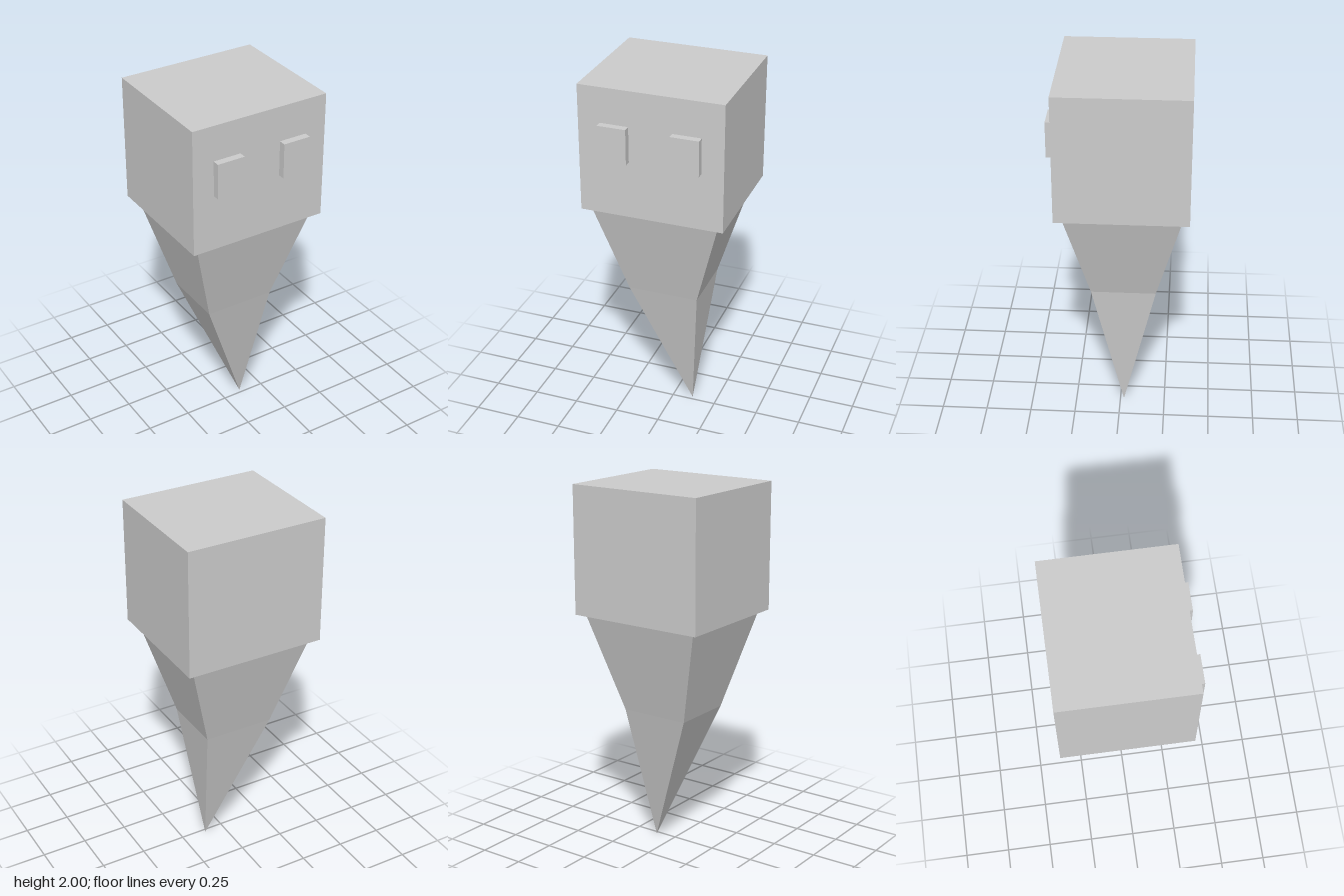
import * as THREE from 'three';

const grey = new THREE.MeshStandardMaterial({ color: 0xcccccc });
grey.name = 'plain grey';

const MID_Z = -0.02; // centre of the head and tail in depth

function box(name, w, h, d, x, y, z) {
  const mesh = new THREE.Mesh(new THREE.BoxGeometry(w, h, d), grey);
  mesh.name = name;
  mesh.position.set(x, y, z);
  return mesh;
}

// Flat-faced tail lofted through rectangular sections, listed from top to tip
function loft(sections) {
  const corners = [[-1, 1], [1, 1], [1, -1], [-1, -1]];
  const rings = sections.map(({ x, y, hw, hd }) =>
    corners.map(([sx, sz]) => [x + sx * hw, y, MID_Z + sz * hd]));
  const pos = [];
  for (let i = 0; i < rings.length - 1; i++) {
    const isTip = i === rings.length - 2;
    for (let j = 0; j < 4; j++) {
      const k = (j + 1) % 4;
      const a = rings[i][j], b = rings[i][k];
      const c = rings[i + 1][j], d = rings[i + 1][k];
      pos.push(...a, ...c, ...b);
      if (!isTip) pos.push(...b, ...c, ...d);
    }
  }
  // Top cap
  const [p, q, r, s] = rings[0];
  pos.push(...p, ...q, ...r, ...p, ...r, ...s);
  const geometry = new THREE.BufferGeometry();
  geometry.setAttribute('position', new THREE.Float32BufferAttribute(pos, 3));
  geometry.computeVertexNormals();
  return geometry;
}

export function createModel() {
  const model = new THREE.Group();
  model.name = 'ghost';

  model.add(box('head', 0.768, 0.69, 0.69, 0, 1.655, MID_Z));

  // Raised rectangular eyes
  for (const [side, name] of [[1, 'leftEye'], [-1, 'rightEye']]) {
    model.add(box(name, 0.152, 0.192, 0.039, side * 0.191, 1.714, 0.344));
  }

  // Tail tapers to a point that swings to the left
  const tail = new THREE.Mesh(loft([
    { x: 0, y: 1.31, hw: 0.345, hd: 0.307 },
    { x: -0.002, y: 0.775, hw: 0.193, hd: 0.174 },
    { x: 0.113, y: 0, hw: 0, hd: 0 },
  ]), grey);
  tail.name = 'tail';
  model.add(tail);

  return model;
}
